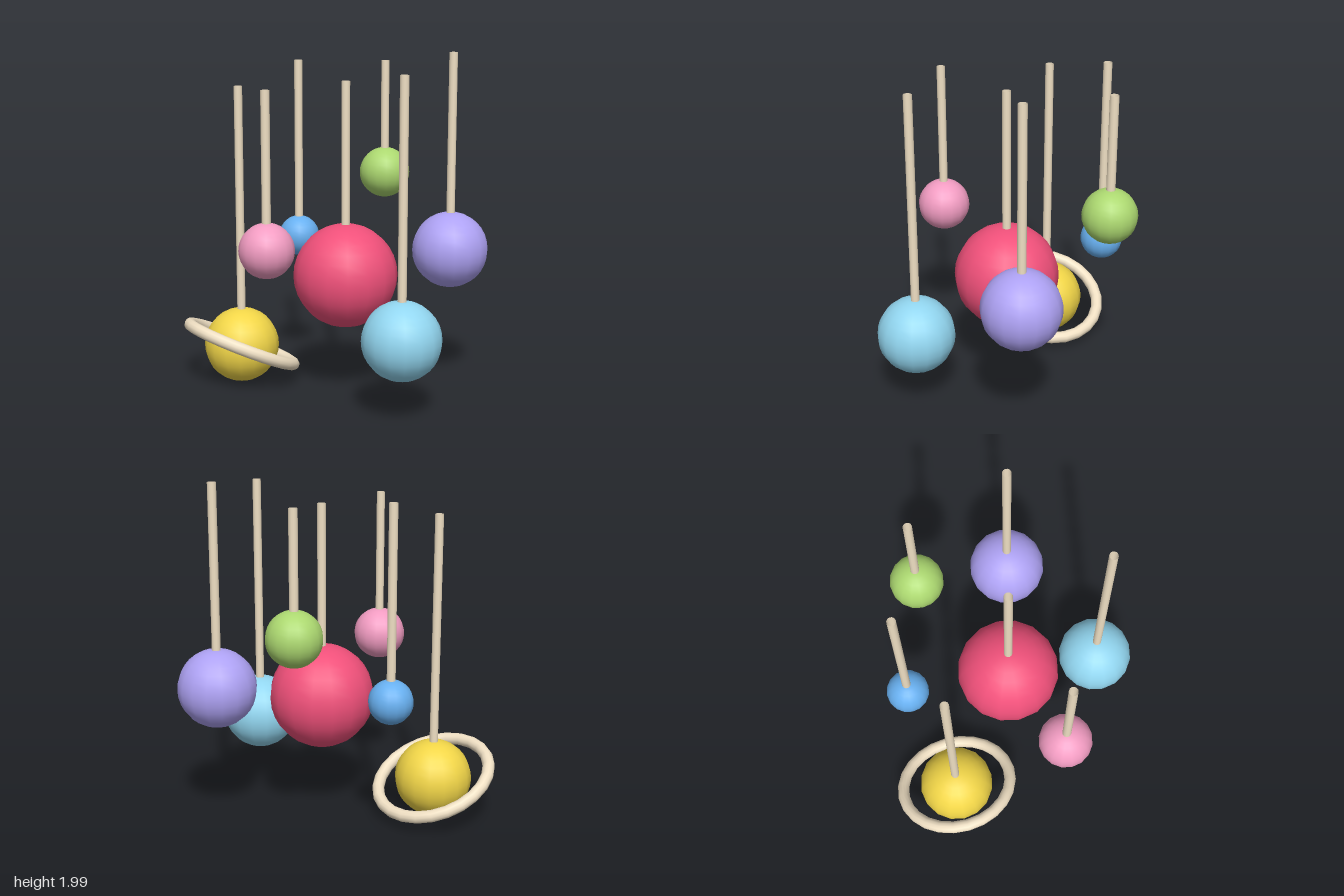
import * as THREE from 'three';

const mat = (color, side = THREE.FrontSide) => new THREE.MeshStandardMaterial({ color, side });

export function createModel() {
  const model = new THREE.Group();
  const wood = mat(0xf0e0c4);
  const rodMat = mat(0xf0e0c4, THREE.DoubleSide);
  const rodRadius = 0.025;

  // name, colour, centre x y z, radius, top of the hanging rod
  const planets = [
    ['redPlanet', 0xf0507a, 0.06, 0.715, 0, 0.305, 1.845],
    ['yellowPlanet', 0xf2d648, -0.56, 0.235, -0.225, 0.225, 1.8],
    ['pinkPlanet', 0xf29cc2, -0.39, 0.955, 0.405, 0.155, 1.83],
    ['bluePlanet', 0x68b0f0, -0.205, 0.84, -0.555, 0.125, 1.93],
    ['greenPlanet', 0xacd870, 0.33, 1.235, -0.575, 0.155, 1.925],
    ['cyanPlanet', 0x92d6f0, 0.345, 0.465, 0.505, 0.225, 1.915],
    ['purplePlanet', 0xaea2f4, 0.685, 0.84, -0.11, 0.225, 2.0],
  ];

  for (const [name, color, x, y, z, r, top] of planets) {
    const planet = new THREE.Group();
    planet.name = name;
    planet.position.set(x, y, z);

    const ball = new THREE.Mesh(new THREE.SphereGeometry(r, 16, 16), mat(color));
    ball.name = 'ball';

    // open tube from just inside the ball up to the rod's top
    const bottom = r * 0.9;
    const length = top - y - bottom;
    const rod = new THREE.Mesh(
      new THREE.CylinderGeometry(rodRadius, rodRadius, length, 12, 1, true), rodMat);
    rod.name = 'hangingRod';
    rod.position.y = bottom + length / 2;

    planet.add(ball, rod);

    // tilted ring around the yellow planet
    if (name === 'yellowPlanet') {
      const ring = new THREE.Mesh(new THREE.TorusGeometry(0.338, 0.036, 12, 24), wood);
      ring.name = 'ring';
      ring.quaternion.setFromUnitVectors(
        new THREE.Vector3(0, 0, 1), new THREE.Vector3(0.37, 0.9, -0.2).normalize());
      planet.add(ring);
    }
    model.add(planet);
  }
  return model;
}
